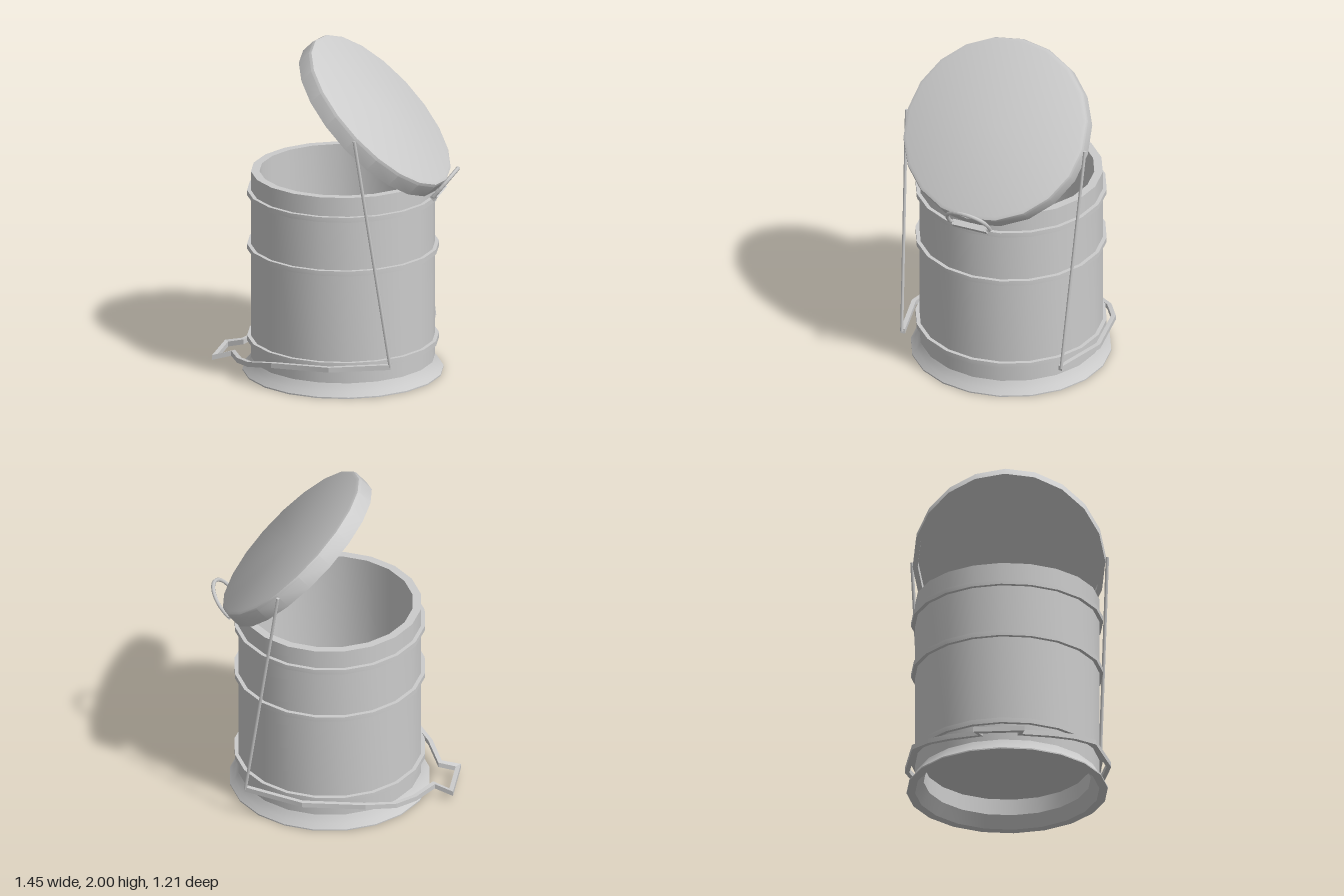
import * as THREE from 'three';
import { toCreasedNormals } from 'three/addons/utils/BufferGeometryUtils.js';

const material = new THREE.MeshStandardMaterial({ color: 0xcccccc });
const SIDES = 20;
const AXIS_X = 0.02;

function part(name, geometry, parent) {
  const mesh = new THREE.Mesh(geometry, material);
  mesh.name = name;
  parent.add(mesh);
  return mesh;
}

// Turned solid from [radius, height] pairs, running up the outside and down the inside
function turned(profile) {
  const points = profile.map(([r, y]) => new THREE.Vector2(r, y));
  return toCreasedNormals(new THREE.LatheGeometry(points, SIDES), 0.45);
}

// Thin round rod between two points
function rod(a, b, radius, sides = 6) {
  const g = new THREE.CylinderGeometry(radius, radius, a.distanceTo(b), sides);
  const dir = b.clone().sub(a).normalize();
  g.applyQuaternion(new THREE.Quaternion().setFromUnitVectors(new THREE.Vector3(0, 1, 0), dir));
  const mid = a.clone().add(b).multiplyScalar(0.5);
  return g.translate(mid.x, mid.y, mid.z);
}

// Mitred rectangular bar following a path, with its width lying flat
function bar(path, width, height) {
  const n = path.length;
  const positions = [];
  const index = [];
  const side = (a, b) => new THREE.Vector2(b.z - a.z, a.x - b.x).normalize();
  path.forEach((p, i) => {
    const before = side(path[Math.max(i - 1, 0)], path[Math.max(i, 1)]);
    const after = side(path[Math.min(i, n - 2)], path[Math.min(i + 1, n - 1)]);
    const miter = before.clone().add(after).normalize();
    miter.multiplyScalar(width / 2 / Math.max(miter.dot(after), 0.4));
    for (const [s, h] of [[1, -1], [1, 1], [-1, 1], [-1, -1]]) {
      positions.push(p.x + s * miter.x, p.y + h * height / 2, p.z + s * miter.y);
    }
  });
  for (let i = 0; i < n - 1; i++) {
    for (let k = 0; k < 4; k++) {
      const a = i * 4 + k, b = i * 4 + (k + 1) % 4;
      index.push(a, b, b + 4, a, b + 4, a + 4);
    }
  }
  const e = (n - 1) * 4;
  index.push(0, 2, 1, 0, 3, 2, e, e + 1, e + 2, e, e + 2, e + 3);
  const g = new THREE.BufferGeometry();
  g.setAttribute('position', new THREE.Float32BufferAttribute(positions, 3));
  g.setIndex(index);
  return toCreasedNormals(g, 0.3);
}

export function createModel() {
  const model = new THREE.Group();
  model.name = 'pedalBin';

  // Hollow drum with a flared foot
  const drum = new THREE.Group();
  drum.name = 'drum';
  drum.position.x = AXIS_X;
  model.add(drum);
  part('wall', turned([
    [0.54, 0], [0.59, 0], [0.59, 0.008], [0.565, 0.035], [0.545, 0.07], [0.54, 0.08],
    [0.54, 1.22], [0.49, 1.22], [0.49, 0.07], [0.54, 0],
  ]), drum);
  part('floor', new THREE.CylinderGeometry(0.492, 0.492, 0.03, SIDES), drum).position.y = 0.185;

  // Raised hoops
  for (const y of [0.197, 0.76, 1.09]) {
    part('hoop', turned([
      [0.53, -0.015], [0.563, -0.015], [0.563, 0.015], [0.53, 0.015],
    ]), drum).position.y = y;
  }

  // Open lid: a shallow cap tilted back on its hinge
  const lid = part('lid', turned([
    [0.535, 0], [0.565, 0], [0.565, 0.085], [0.559, 0.102], [0.54, 0.11],
    [0, 0.11], [0, 0.08], [0.535, 0.08], [0.535, 0],
  ]), model);
  lid.position.set(0.178, 1.535, 0);
  lid.rotation.z = -Math.PI / 4;

  // Hinge pin and carrying loop at the low edge of the lid
  const pin = part('hingePin', new THREE.BoxGeometry(0.035, 0.035, 0.22), model);
  pin.position.set(0.597, 1.131, 0);
  pin.rotation.z = -0.7;
  const loop = new THREE.CurvePath();
  const along = new THREE.Vector3(0.62, 0.785, 0);
  const at = (z, d) => new THREE.Vector3(0.6, 1.14, z).addScaledVector(along, d);
  const arch = [];
  for (let i = 0; i <= 14; i++) {
    const a = Math.PI * i / 14;
    arch.push(at(0.13 * Math.cos(a), 0.045 + 0.13 * Math.sin(a)));
  }
  const outline = [at(0.1, 0), at(0.13, 0), ...arch, at(-0.13, 0), at(-0.1, 0)];
  for (let i = 1; i < outline.length; i++) {
    loop.add(new THREE.LineCurve3(outline[i - 1], outline[i]));
  }
  part('carryLoop', new THREE.TubeGeometry(loop, 64, 0.012, 6), model);

  // Pedal frame wrapping the drum, ending in a squared foot plate
  const half = [
    [0.44, 0.2, 0.505], [0.09, 0.182, 0.592], [-0.27, 0.16, 0.527], [-0.435, 0.12, 0.425],
    [-0.53, 0.098, 0.3], [-0.615, 0.078, 0.115], [-0.72, 0.05, 0.135],
  ].map(p => new THREE.Vector3(...p));
  const mirrored = half.map(p => new THREE.Vector3(p.x, p.y, -p.z)).reverse();
  part('pedalFrame', bar([...half, ...mirrored], 0.026, 0.03), model);

  // Lifting rods from the pedal frame to the lid
  for (const s of [1, -1]) {
    part('liftRod', rod(
      new THREE.Vector3(0.44, 0.2, 0.512 * s),
      new THREE.Vector3(0.238, 1.59, 0.573 * s), 0.01), model);
  }
  return model;
}
